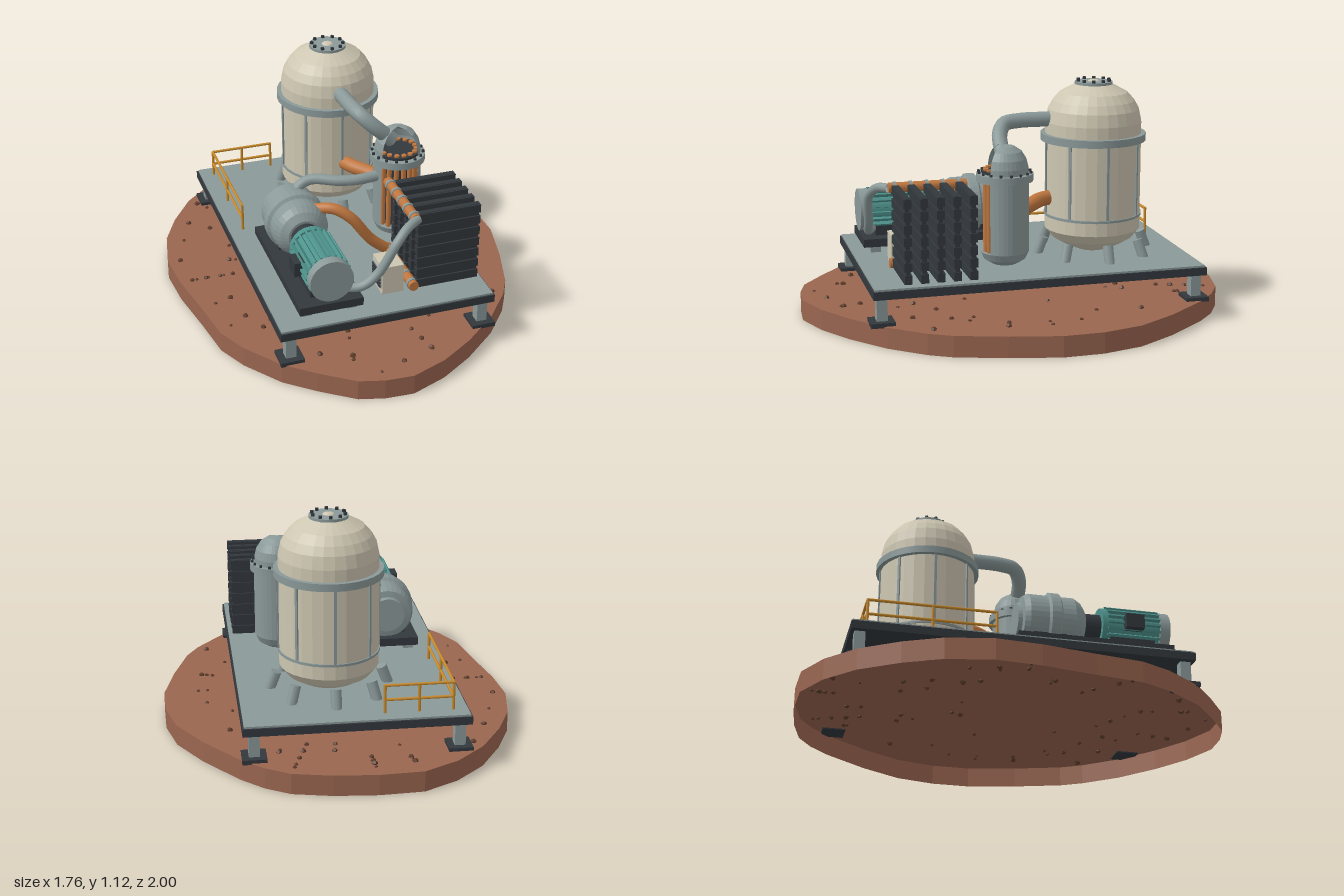
import * as THREE from 'three';

const paint = (name, color, side = THREE.FrontSide) => {
  const m = new THREE.MeshStandardMaterial({ color, side });
  m.name = name;
  return m;
};
const M = {
  soil: paint('red soil', 0x9a6650, THREE.DoubleSide),
  rock: paint('dark rock', 0x5f3d2c),
  steel: paint('grey steel', 0x8b9999, THREE.DoubleSide),
  dark: paint('dark frame', 0x33383d),
  cream: paint('cream enamel', 0xcdc6b1, THREE.DoubleSide),
  teal: paint('teal motor', 0x4d918b),
  copper: paint('copper', 0xc0773f),
  rail: paint('amber rail', 0xc88a2c),
};
const V = (p) => new THREE.Vector3(...p);

function add(parent, name, geo, mat, x = 0, y = 0, z = 0) {
  const mesh = new THREE.Mesh(geo, mat);
  mesh.name = name;
  mesh.position.set(x, y, z);
  parent.add(mesh);
  return mesh;
}
function group(parent, name, x = 0, y = 0, z = 0) {
  const g = new THREE.Group();
  g.name = name;
  g.position.set(x, y, z);
  parent.add(g);
  return g;
}
function facet(geo) {
  const g = geo.toNonIndexed();
  g.computeVertexNormals();
  return g;
}
const box = (w, h, d) => new THREE.BoxGeometry(w, h, d);
const cyl = (r, h, n = 16) => new THREE.CylinderGeometry(r, r, h, n);
const lathe = (pts, n = 28, start = 0, len = Math.PI * 2) =>
  facet(new THREE.LatheGeometry(pts.map((p) => new THREE.Vector2(...p)), n, start, len));
const pipe = (pts, r) =>
  new THREE.TubeGeometry(new THREE.CatmullRomCurve3(pts.map(V), false, 'centripetal'), 32, r, 14);

// Straight round bar between two points
function bar(parent, name, a, b, r, mat) {
  const d = V(b).sub(V(a));
  const m = add(parent, name, cyl(r, d.length(), 8), mat);
  m.position.copy(V(a)).addScaledVector(d, 0.5);
  m.quaternion.setFromUnitVectors(new THREE.Vector3(0, 1, 0), d.normalize());
}
// Calls fn(angle, sin, cos) n times round a circle
function ring(n, fn) {
  for (let i = 0; i < n; i++) {
    const a = (i / n) * Math.PI * 2;
    fn(a, Math.sin(a), Math.cos(a));
  }
}

const OUTLINE = [[-.13, -1], [0, -.99], [.135, -.95], [.37, -.84], [.56, -.72], [.69, -.57], [.78, -.4],
  [.84, -.16], [.88, .08], [.875, .2], [.83, .4], [.74, .61], [.64, .78], [.515, .92], [.39, .975],
  [.27, 1], [.08, .97], [-.09, .93], [-.29, .83], [-.42, .73], [-.55, .55], [-.71, .34], [-.82, .16],
  [-.88, -.05], [-.885, -.24], [-.86, -.45], [-.79, -.63], [-.68, -.78], [-.5, -.88], [-.31, -.955]];

function buildGround(root) {
  const H = 0.1;
  const g = group(root, 'ground');
  const shape = new THREE.Shape(OUTLINE.map(([x, z]) => new THREE.Vector2(x, -z)));
  add(g, 'groundTop', new THREE.ShapeGeometry(shape).rotateX(-Math.PI / 2), M.soil, 0, H, 0);
  // Open-bottomed rim wall
  const pos = [];
  OUTLINE.forEach(([x, z], i) => {
    const [u, w] = OUTLINE[(i + 1) % OUTLINE.length];
    pos.push(x, 0, z, x, H, z, u, H, w, x, 0, z, u, H, w, u, 0, w);
  });
  const wall = new THREE.BufferGeometry();
  wall.setAttribute('position', new THREE.Float32BufferAttribute(pos, 3));
  wall.computeVertexNormals();
  add(g, 'groundRim', wall, M.soil);
  // Scattered rocks
  let seed = 7;
  const rnd = () => (seed = (seed * 16807) % 2147483647) / 2147483647;
  for (let i = 0; i < 90; i++) {
    const [x, z] = OUTLINE[Math.floor(rnd() * OUTLINE.length)];
    const k = 0.2 + 0.74 * Math.sqrt(rnd());
    const rock = add(g, 'rock', new THREE.DodecahedronGeometry(0.008 + rnd() * 0.008), M.rock, x * k, H, z * k);
    rock.rotation.set(rnd() * 3, rnd() * 3, 0);
  }
}

function buildPlatform(unit) {
  const g = group(unit, 'platform');
  add(g, 'deckFrame', box(1.045, 0.038, 1.605), M.dark, 0, 0.243, 0);
  add(g, 'deck', box(1.03, 0.01, 1.59), M.steel, 0, 0.266, 0);
  for (const sx of [-1, 1]) for (const sz of [-1, 1]) {
    const leg = group(g, 'platformLeg', sx * 0.47, 0, sz * 0.76);
    add(leg, 'post', box(0.05, 0.13, 0.05), M.steel, 0, 0.165, 0);
    add(leg, 'footPlate', box(0.113, 0.022, 0.113), M.dark, 0, 0.105, 0);
  }
  // Corner guard rail
  const r = group(g, 'guardRail');
  const A = [-0.13, -0.725], B = [-0.446, -0.725], C = [-0.446, -0.127];
  for (const y of [0.335, 0.405]) for (const [p, q] of [[A, B], [B, C]])
    bar(r, 'railBar', [p[0], y, p[1]], [q[0], y, q[1]], 0.007, M.rail);
  for (const [x, z] of [A, B, C, [-0.288, -0.725], [-0.446, -0.426]])
    bar(r, 'railPost', [x, 0.27, z], [x, 0.408, z], 0.007, M.rail);
}

function buildTank(unit) {
  const g = group(unit, 'mainTank', 0.081, 0, -0.368);
  add(g, 'tankBody', lathe([[0, .27], [.07, .28], [.14, .31], [.2, .345], [.235, .39], [.235, .86],
    [.235, .92], [.222, .98], [.2, 1.02], [.165, 1.06], [.09, 1.1], [0, 1.1]]), M.cream);
  add(g, 'tankFlange', cyl(0.257, 0.036, 32), M.steel, 0, 0.845, 0);
  add(g, 'tankBand', cyl(0.241, 0.012, 28), M.steel, 0, 0.462, 0);
  ring(8, (a, s, c) => {
    add(g, 'tankRib', box(0.012, 0.36, 0.014), M.steel, s * 0.235, 0.65, c * 0.235).rotation.y = a;
    bar(g, 'tankFoot', [s * .25, .35, c * .25], [s * .283, .262, c * .283], 0.026, M.steel);
  });
  // Bolted top hatch
  add(g, 'hatch', cyl(0.092, 0.016, 24), M.steel, 0, 1.104, 0);
  add(g, 'hatchKnob', new THREE.SphereGeometry(0.03, 12, 8).scale(1, 0.4, 1), M.cream, 0, 1.11, 0);
  ring(10, (a, s, c) => add(g, 'hatchBolt', cyl(0.009, 0.016, 6), M.dark, s * .078, 1.116, c * .078));
}

function buildExchanger(unit) {
  const g = group(unit, 'heatExchanger', 0.276, 0, 0.13);
  const rad = Math.PI / 180;
  const cut = (name, pts) => add(g, name, lathe(pts, 24, 40 * rad, 260 * rad), M.steel);
  // Shell and dome are open at the front
  cut('shell', [[.116, .35], [.116, .7]]);
  cut('dome', [[.112, .72], [.112, .755], [.102, .795], [.08, .83], [.045, .853], [0, .86]]);
  add(g, 'shellBottom', lathe([[0, .285], [.06, .29], [.1, .315], [.116, .35], [0, .35]]), M.steel);
  add(g, 'flange', cyl(0.135, 0.036, 28), M.steel, 0, 0.708, 0);
  add(g, 'tubeSheet', cyl(0.11, 0.012, 24), M.dark, 0, 0.735, 0);
  add(g, 'core', cyl(0.078, 0.35, 16), M.dark, 0, 0.52, 0);
  ring(16, (a, s, c) => {
    add(g, 'heatTube', cyl(0.013, 0.4, 8), M.copper, s * 0.09, 0.55, c * 0.09);
    add(g, 'flangeBolt', cyl(0.007, 0.014, 6), M.dark, s * 0.124, 0.73, c * 0.124);
  });
}

function buildCompressor(unit) {
  const g = group(unit, 'compressorSet', -0.26, 0, 0);
  add(g, 'skid', box(0.305, 0.04, 0.757), M.dark, 0, 0.322, 0.363);
  for (const sx of [-1, 1]) for (const z of [0.05, 0.36, 0.68])
    add(g, 'skidFoot', box(0.05, 0.035, 0.05), M.steel, sx * 0.11, 0.287, z);
  add(g, 'compressorCradle', box(0.2, 0.06, 0.16), M.dark, 0, 0.36, 0.15);
  add(g, 'motorCradle', box(0.16, 0.06, 0.22), M.dark, 0, 0.36, 0.56);
  const axis = group(g, 'rotatingMachine', 0, 0.46, 0);
  const along = (name, geo, mat, z = 0) => add(axis, name, geo.rotateX(Math.PI / 2), mat, 0, 0, z);
  along('compressorCasing', lathe([[0, 0], [.085, 0], [.09, .02], [.12, .025], [.135, .05], [.135, .14],
    [.15, .15], [.15, .195], [.135, .205], [.135, .27], [.115, .305], [.08, .33], [0, .33]], 32), M.steel);
  along('coupling', cyl(0.068, 0.12, 20), M.dark, 0.38);
  along('motorBody', cyl(0.09, 0.27, 24), M.teal, 0.565);
  along('motorRearCap', cyl(0.1, 0.03, 24), M.teal, 0.425);
  along('motorEndCap', cyl(0.104, 0.05, 24), M.steel, 0.72);
  ring(20, (a, s, c) => {
    add(axis, 'coolingFin', box(0.01, 0.024, 0.26), M.teal, s * 0.097, c * 0.097, 0.565).rotation.z = -a;
  });
  add(axis, 'terminalBox', box(0.05, 0.07, 0.09), M.dark, -0.11, 0, 0.56);
}

function buildRadiator(unit) {
  const g = group(unit, 'radiator');
  for (let i = 0; i < 5; i++) {
    const panel = group(g, 'radiatorPanel', 0.34, 0, 0.33 + i * 0.0765);
    add(panel, 'panelCore', box(0.3, 0.395, 0.02), M.dark, 0, 0.478, 0);
    for (let k = 0; k < 7; k++)
      add(panel, 'panelRidge', box(0.31, 0.042, 0.036), M.dark, 0, 0.3 + k * 0.0588, 0);
  }
  for (const y of [0.295, 0.66]) {
    bar(g, 'header', [0.17, y, 0.29], [0.17, y, 0.665], 0.025, M.copper);
    for (let i = 0; i < 5; i++) {
      const z = 0.33 + i * 0.0765;
      bar(g, 'headerBand', [0.17, y, z - 0.008], [0.17, y, z + 0.008], 0.029, M.steel);
    }
  }
}

function buildCabinet(unit) {
  const g = group(unit, 'controlCabinet', 0.07, 0.343, 0.58);
  add(g, 'cabinetBody', box(0.105, 0.145, 0.135), M.cream);
  add(g, 'ventPanel', box(0.006, 0.09, 0.11), M.steel, -0.054, 0, 0);
  for (let i = 0; i < 5; i++) add(g, 'louvre', box(0.008, 0.01, 0.105), M.dark, -0.058, -0.036 + i * 0.018, 0);
}

function buildPipes(root) {
  const g = group(root, 'pipework');
  add(g, 'vapourPipe', pipe([[-.06, .935, -.3], [.02, .935, -.17], [.09, .935, -.05], [.14, .925, .01],
    [.2, .88, .02], [.29, .79, -.02]], 0.037), M.steel);
  add(g, 'suctionPipe', pipe([[-.15, .53, .17], [-.145, .585, .15], [-.09, .615, .12], [.05, .615, .11],
    [.14, .615, .085], [.24, .615, .02]], 0.026), M.steel);
  add(g, 'dischargePipe', pipe([[-.06, .54, .27], [.05, .555, .28], [.13, .51, .275], [.22, .38, .235],
    [.3, .295, .185]], 0.027), M.copper);
  add(g, 'transferPipe', pipe([[-.02, .55, -.24], [.08, .55, -.16], [.18, .54, -.12], [.28, .52, -.06]], 0.036), M.copper);
  add(g, 'returnPipe', pipe([[.15, .38, .68], [.24, .39, .67], [.31, .45, .645], [.39, .6, .615],
    [.43, .65, .56], [.47, .66, .49]], 0.022), M.steel);
}

export function createModel() {
  const root = new THREE.Group();
  root.name = 'processSkid';
  buildGround(root);
  // Everything on the platform is turned relative to the ground
  const unit = group(root, 'plantUnit', 0.01, 0, -0.02);
  unit.rotation.y = 0.471;
  [buildPlatform, buildTank, buildExchanger, buildCompressor, buildRadiator, buildCabinet].forEach((f) => f(unit));
  buildPipes(root);
  return root;
}
